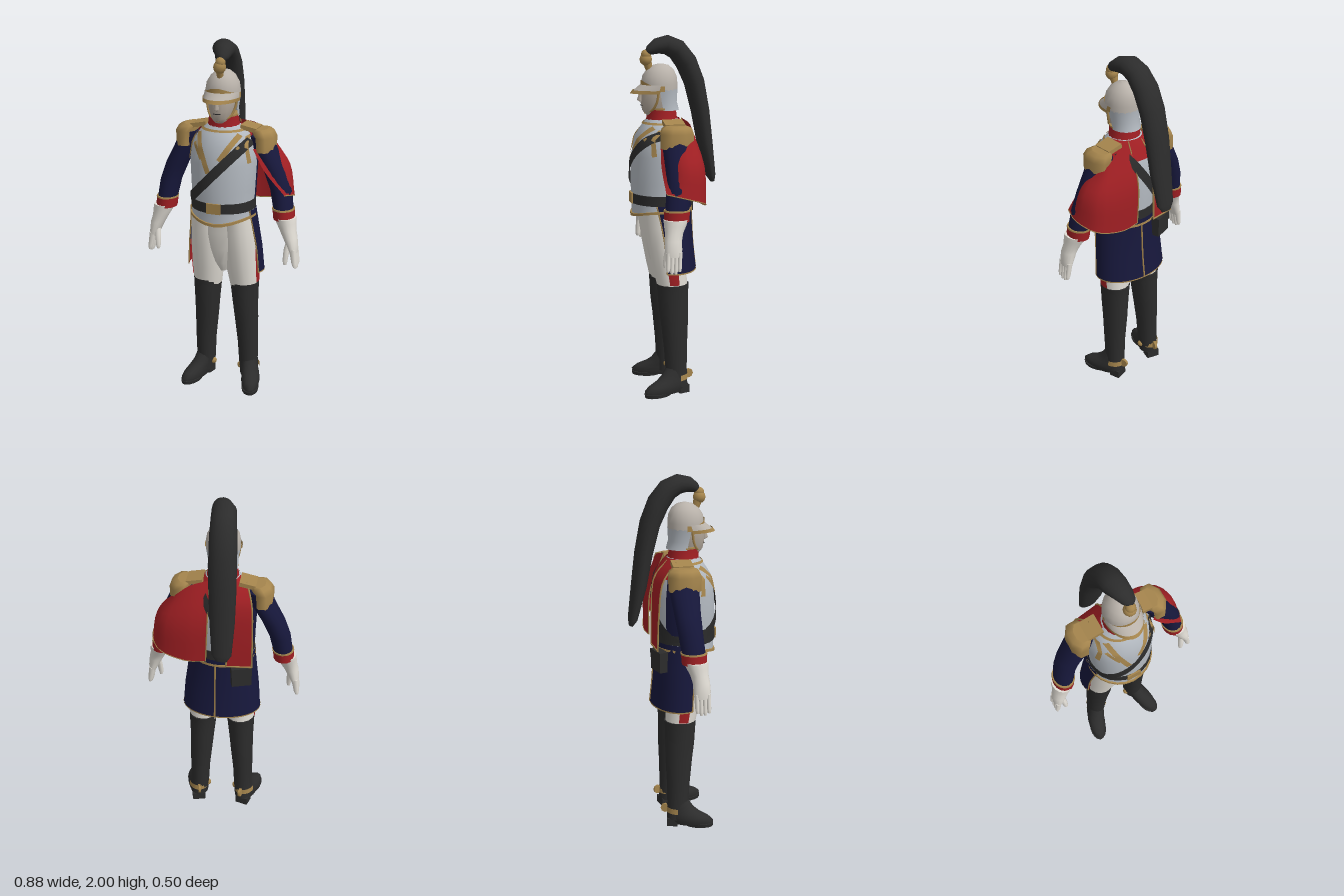
import * as THREE from 'three';

const paint = (name, color) => new THREE.MeshStandardMaterial({ name, color, side: THREE.DoubleSide });

// Lofts ellipses [x, y, z, radiusX, radiusZ, frontDip], listed from bottom to top.
// arc = [start, end] leaves the shell open; bend turns each ring to follow the path; spin turns its corners.
function loft(sections, { seg = 16, arc = null, bend = false, side = 1, grow = 0, spin = 0 } = {}) {
  const pos = [], idx = [], n = arc ? seg + 1 : seg;
  const [a0, a1] = arc || [spin, spin + Math.PI * 2];
  sections.forEach(([x, y, z, rx, rz, dip = 0], i) => {
    const p = sections[Math.max(0, i - 1)], q = sections[Math.min(sections.length - 1, i + 1)];
    const t = bend ? Math.atan2(p[2] - q[2], q[1] - p[1]) : 0;
    for (let j = 0; j < n; j++) {
      const a = a0 + (a1 - a0) * j / seg, s = Math.sin(a);
      const r = (rz + grow) * s;
      pos.push(x * side + (rx + grow) * Math.cos(a), y + r * Math.sin(t) - dip * Math.max(0, s) ** 3, z + r * Math.cos(t));
    }
  });
  const quads = arc ? n - 1 : n;
  for (let i = 0; i < sections.length - 1; i++) for (let j = 0; j < quads; j++) {
    const a = i * n + j, c = i * n + (j + 1) % n;
    idx.push(a, a + n, c, a + n, c + n, c);
  }
  if (!arc) for (const i of [0, sections.length - 1]) {   // end caps
    const base = pos.length / 3, [x, y, z] = sections[i];
    for (let j = 0; j < n; j++) pos.push(...pos.slice((i * n + j) * 3, (i * n + j) * 3 + 3));
    pos.push(x * side, y, z);
    for (let j = 0; j < n; j++) {
      const k = base + (j + 1) % n;
      if (i) idx.push(base + j, base + n, k); else idx.push(base + j, k, base + n);
    }
  }
  return finish(pos, idx);
}

function finish(pos, idx) {
  const g = new THREE.BufferGeometry();
  g.setAttribute('position', new THREE.Float32BufferAttribute(pos, 3));
  g.setIndex(idx);
  g.computeVertexNormals();
  return g;
}

const curve = pts => new THREE.CatmullRomCurve3(pts.map(p => new THREE.Vector3(...p)));
const cord = (pts, r = 0.006) => new THREE.TubeGeometry(curve(pts), 14, r, 5);

// Cloth sheet stretched over hanging columns of points
function sheet(cols, nu = 12, nv = 8) {
  const pos = [], idx = [], lines = cols.map(curve);
  for (let j = 0; j <= nv; j++) {
    const row = new THREE.CatmullRomCurve3(lines.map(l => l.getPoint(j / nv)));
    for (let i = 0; i <= nu; i++) pos.push(...row.getPoint(i / nu).toArray());
  }
  for (let j = 0; j < nv; j++) for (let i = 0; i < nu; i++) {
    const a = j * (nu + 1) + i, b = a + nu + 1;
    idx.push(a, a + 1, b, a + 1, b + 1, b);
  }
  return finish(pos, idx);
}

const TORSO = [
  [0, 1.05, 0.073, 0.18, 0.163, 0.035], [0, 1.1, 0.073, 0.172, 0.163], [0, 1.2, 0.073, 0.178, 0.17],
  [0, 1.35, 0.07, 0.186, 0.166], [0, 1.45, 0.068, 0.173, 0.15], [0, 1.51, 0.065, 0.135, 0.115], [0, 1.55, 0.065, 0.085, 0.085]];

// Flat strap lying on the breastplate (face 1) or backplate (face -1)
function strap([x0, y0], [x1, y1], width, face = 1, off = 0.007) {
  const pos = [], idx = [], N = 14, len = Math.hypot(x1 - x0, y1 - y0);
  const nx = -(y1 - y0) / len * width / 2, ny = (x1 - x0) / len * width / 2;
  const put = (x, y) => {
    let i = 0;
    while (i < TORSO.length - 2 && TORSO[i + 1][1] < y) i++;
    const A = TORSO[i], B = TORSO[i + 1], t = THREE.MathUtils.clamp((y - A[1]) / (B[1] - A[1]), 0, 1);
    const [cz, rx, rz] = [2, 3, 4].map(k => A[k] + (B[k] - A[k]) * t);
    const u = THREE.MathUtils.clamp(x / (rx + off), -1, 1);
    pos.push(u * (rx + off), y, cz + face * (rz + off) * Math.sqrt(1 - u * u));
  };
  for (let i = 0; i <= N; i++) {
    const x = x0 + (x1 - x0) * i / N, y = y0 + (y1 - y0) * i / N;
    put(x + nx, y + ny); put(x, y); put(x - nx, y - ny);
    if (i) for (const k of [0, 1]) {
      const b = i * 3 + k, a = b - 3;
      if (face > 0) idx.push(a, a + 1, b, a + 1, b + 1, b); else idx.push(a, b, a + 1, a + 1, b, b + 1);
    }
  }
  return finish(pos, idx);
}

export function createModel() {
  const steel = paint('steel', 0xb3b9c0), white = paint('white cloth', 0xe2ded6), black = paint('black leather', 0x2c2c2c);
  const navy = paint('navy cloth', 0x17183c), red = paint('red cloth', 0xa01f23), gold = paint('gold', 0xa5854d), skin = paint('skin', 0xb2a79b);
  const warmSteel = paint('warm steel', 0xb9b2aa);
  const root = new THREE.Group();
  root.name = 'cavalryman';
  const add = (name, geo, mat, parent = root, p = [0, 0, 0]) => {
    const m = new THREE.Mesh(geo, mat);
    m.name = name; m.position.set(...p); parent.add(m);
    return m;
  };
  const box = (w, h, d) => new THREE.BoxGeometry(w, h, d);
  const ball = r => new THREE.SphereGeometry(r, 10, 8);
  const PI = Math.PI;

  // Torso armour, belt and straps
  add('cuirass', loft(TORSO, { seg: 24 }), steel);
  add('cuirassRim', loft([[0, 1.045, 0.073, 0.187, 0.172, 0.035], [0, 1.058, 0.073, 0.186, 0.171, 0.033]], { seg: 24 }), gold);
  add('neckRim', loft([[0, 1.522, 0.065, 0.124, 0.112], [0, 1.533, 0.065, 0.112, 0.104]], { arc: [0, PI] }), gold);
  add('waistBelt', loft([[0, 1.085, 0.073, 0.18, 0.17], [0, 1.14, 0.073, 0.18, 0.171]], { seg: 24 }), black);
  add('buckle', box(0.08, 0.058, 0.01), gold, root, [0, 1.113, 0.242]);
  add('crossBeltFront', strap([0.165, 1.475], [-0.168, 1.13], 0.052, 1, 0.01), black);
  add('crossBeltBack', strap([0.13, 1.53], [-0.16, 1.1], 0.05, -1, 0.016), black);
  add('pouch', box(0.11, 0.1, 0.045), black, root, [-0.125, 0.99, -0.09]).rotation.y = 0.3;
  add('pouchFlap', box(0.115, 0.05, 0.05), black, root, [-0.125, 1.03, -0.091]).rotation.y = 0.3;
  for (const s of [-1, 1]) {
    add('chestBraid', strap([s * 0.115, 1.51], [s * 0.03, s < 0 ? 1.31 : 1.38], 0.03), gold);
    add('chestBraidOuter', strap([s * 0.13, 1.46], [s * 0.075, 1.38], 0.02), gold);
    const a = s > 0 ? -0.8 : PI;
    add('coatFlank', loft(TORSO.slice(1, 5), { seg: 6, grow: 0.004, arc: [a, a + 0.8] }), navy);
    add('armholeRim', strap([s * 0.145, 1.5], [s * 0.172, 1.36], 0.014), gold);
  }
  add('collar', loft([[0, 1.525, 0.066, 0.095, 0.092], [0, 1.56, 0.067, 0.084, 0.084], [0, 1.605, 0.07, 0.08, 0.082]]), red);
  add('collarTrim', loft([[0, 1.6, 0.07, 0.082, 0.084], [0, 1.609, 0.07, 0.082, 0.084]]), gold);

  // Coat skirt, open at the front
  const skirt = [[0, 0.71, 0.03, 0.222, 0.15], [0, 0.85, 0.04, 0.212, 0.145], [0, 0.97, 0.055, 0.196, 0.152], [0, 1.085, 0.073, 0.181, 0.168]];
  const arc = [-PI - 0.35, 0.35];
  add('coatSkirt', loft(skirt, { seg: 24, arc }), navy);
  add('coatHem', loft([[0, 0.708, 0.03, 0.224, 0.152], [0, 0.716, 0.03, 0.224, 0.152]], { seg: 24, arc }), gold);
  add('coatVentPiping', cord([[0.02, 0.71, -0.12], [0.02, 0.85, -0.105], [0.02, 1.05, -0.095]], 0.005), gold);
  for (const s of [-1, 1]) {
    const a = s > 0 ? -0.3 : PI - 0.33;
    add('coatEdge', cord(skirt.map(([, y, z, rx, rz]) => [s * rx * Math.cos(0.35), y, z + rz * Math.sin(0.35)]), 0.004), gold);
    add('coatLining', loft(skirt.slice(0, 2), { seg: 5, grow: -0.004, arc: [a, a + 0.63] }), red);
  }

  // Legs, boots and arms
  add('breechesSeat', loft([[0, 0.7, 0.06, 0.02, 0.04], [0, 0.76, 0.065, 0.05, 0.075], [0, 0.85, 0.065, 0.1, 0.1], [0, 0.95, 0.066, 0.16, 0.114], [0, 1.07, 0.07, 0.172, 0.122]]), white);
  const thigh = [[0.11, 0.6, 0.03, 0.079, 0.082], [0.102, 0.72, 0.045, 0.09, 0.095], [0.097, 0.85, 0.057, 0.095, 0.108], [0.093, 0.96, 0.066, 0.095, 0.116], [0.088, 1.05, 0.07, 0.092, 0.12]];
  for (const side of [-1, 1]) {
    const o = { side }, turn = side > 0 ? 0 : PI;
    add('thigh', loft(thigh, o), white);
    add('legStripe', loft([[0.108, 0.64, 0.035, 0.082, 0.086], ...thigh.slice(1, 3)], { side, seg: 4, grow: 0.004, arc: [turn - 0.3, turn + 0.3] }), red);
    add('bootShaft', loft([[0.135, 0.04, 0.01, 0.052, 0.06], [0.13, 0.14, 0.015, 0.054, 0.062], [0.128, 0.25, 0.018, 0.058, 0.066],
      [0.12, 0.4, 0.022, 0.066, 0.077], [0.115, 0.5, 0.028, 0.071, 0.084], [0.112, 0.58, 0.03, 0.077, 0.087], [0.11, 0.635, 0.03, 0.081, 0.091]], o), black);
    const foot = new THREE.Group();
    foot.name = 'foot'; foot.position.set(side * 0.143, 0, 0.005); foot.rotation.y = side * 0.28;
    root.add(foot);
    add('shoe', loft([[0, 0.012, 0.085, 0.046, 0.12], [0, 0.035, 0.083, 0.053, 0.13], [0, 0.058, 0.066, 0.052, 0.12], [-0.004, 0.08, 0.042, 0.05, 0.093],
      [-0.01, 0.105, 0.024, 0.049, 0.074], [-0.014, 0.15, 0.01, 0.046, 0.056]], o), black, foot);
    add('sole', loft([[0, 0, 0.13, 0.046, 0.08], [0, 0.02, 0.13, 0.05, 0.083]]), black, foot);
    add('heel', box(0.075, 0.045, 0.06), black, foot, [0, 0.0225, -0.022]);
    add('spurStrap', loft([[-0.006, 0.08, 0.012, 0.058, 0.07], [-0.006, 0.112, 0.012, 0.056, 0.068]], { side, arc: [-PI, 0] }), gold, foot);
    const rowel = add('spurRowel', new THREE.CylinderGeometry(0.026, 0.026, 0.014, 8), gold, foot, [0, 0.1, -0.066]);
    rowel.rotation.z = PI / 2;
    add('spurButton', ball(0.02), gold, foot, [-side * 0.06, 0.09, 0.0]);

    add('sleeve', loft([[0.343, 1.08, 0.06, 0.054, 0.064], [0.322, 1.2, 0.045, 0.059, 0.067], [0.285, 1.3, 0.035, 0.063, 0.072],
      [0.232, 1.4, 0.03, 0.066, 0.08], [0.2, 1.49, 0.03, 0.06, 0.07]], o), navy);
    add('cuff', loft([[0.346, 1.042, 0.062, 0.058, 0.069], [0.341, 1.1, 0.059, 0.06, 0.071]], o), red);
    add('cuffTrim', loft([[0.341, 1.096, 0.059, 0.062, 0.073], [0.34, 1.104, 0.058, 0.061, 0.072]], o), gold);
    add('glove', loft([[0.413, 0.865, 0.092, 0.02, 0.042], [0.405, 0.9, 0.092, 0.03, 0.047], [0.39, 0.95, 0.09, 0.04, 0.047],
      [0.374, 0.99, 0.082, 0.046, 0.05], [0.362, 1.03, 0.073, 0.056, 0.062], [0.356, 1.055, 0.068, 0.058, 0.067]], o), white);
    for (let i = 0; i < 4; i++) {
      const z = 0.06 + i * 0.021, tip = 0.77 + Math.abs(i - 1.5) * 0.012;
      add('finger', loft([[0.428, tip, z + 0.004, 0.008, 0.008], [0.425, tip + 0.02, z + 0.003, 0.014, 0.012], [0.412, 0.89, z, 0.018, 0.014]], { side, seg: 8 }), white);
    }
    add('thumb', loft([[0.375, 0.8, 0.13, 0.009, 0.009], [0.375, 0.82, 0.13, 0.014, 0.014], [0.38, 0.88, 0.12, 0.017, 0.018], [0.388, 0.94, 0.1, 0.015, 0.02]], { side, seg: 8 }), white);

    // Fringed epaulette
    add('epaulette', loft([[0.227, 1.412, 0.032, 0.056, 0.092], [0.225, 1.49, 0.032, 0.06, 0.094], [0.21, 1.52, 0.03, 0.058, 0.084], [0.2, 1.53, 0.03, 0.04, 0.06]],
      { side, seg: 8, spin: PI / 8 }), gold);
    add('shoulderTab', box(0.09, 0.024, 0.11), gold, root, [side * 0.143, 1.532, 0.032]).rotation.z = -side * 0.2;
  }

  // Cape over the left shoulder, yoke and hanging strip on the back
  const capeCols = [
    [[0.18, 1.43, 0.112], [0.245, 1.32, 0.122], [0.362, 1.19, 0.12]], [[0.265, 1.43, 0.03], [0.352, 1.32, 0.03], [0.388, 1.17, 0.03]],
    [[0.245, 1.46, -0.05], [0.32, 1.32, -0.085], [0.34, 1.13, -0.09]], [[0.16, 1.53, -0.055], [0.18, 1.32, -0.12], [0.18, 1.09, -0.125]],
    [[0.06, 1.555, -0.03], [0.06, 1.34, -0.108], [0.07, 1.09, -0.115]]];
  const stripCols = [-0.045, -0.115, -0.185].map((x, i) =>
    [[x * 0.75, 1.545, -0.02 + i * 0.012], [x * 0.95, 1.45, -0.1 + i * 0.012], [x, 1.25, -0.118 + i * 0.008], [x, 1.07, -0.12 + i * 0.006]]);
  add('cape', sheet(capeCols), red);
  add('capeHem', cord(capeCols.map(c => c[2]), 0.003), gold);
  add('capeEdge', cord(capeCols[4], 0.004), gold);
  add('backYoke', loft(TORSO.slice(4), { grow: 0.009, arc: [-PI, 0] }), red);
  add('backStrip', sheet(stripCols), red);
  for (const c of [stripCols[0], stripCols[2], stripCols.map(q => q[3])]) add('stripEdge', cord(c, 0.005), gold);

  // Head and face
  add('head', loft([[0, 1.54, 0.065, 0.06, 0.06], [0, 1.575, 0.09, 0.052, 0.07], [0, 1.595, 0.1, 0.056, 0.076], [0, 1.635, 0.092, 0.07, 0.092],
    [0, 1.68, 0.088, 0.078, 0.096], [0, 1.74, 0.085, 0.08, 0.094]]), skin);
  add('nose', loft([[0, 1.642, 0.182, 0.013, 0.012], [0, 1.652, 0.188, 0.015, 0.018], [0, 1.705, 0.178, 0.007, 0.01]], { seg: 6 }), skin);
  add('mouth', box(0.04, 0.004, 0.006), black, root, [0, 1.622, 0.18]);
  for (const s of [-1, 1]) {
    add('eye', box(0.024, 0.007, 0.007), black, root, [s * 0.031, 1.692, 0.172]).rotation.y = s * 0.35;
    add('chinStrap', cord([[s * 0.088, 1.71, 0.1], [s * 0.076, 1.64, 0.11], [s * 0.054, 1.6, 0.13], [0, 1.58, 0.16]], 0.007), gold);
  }

  // Helmet with visor, crest and plume
  add('helmetDome', loft([[0, 1.705, 0.08, 0.094, 0.1], [0, 1.74, 0.08, 0.094, 0.1], [0, 1.78, 0.079, 0.087, 0.095], [0, 1.815, 0.076, 0.066, 0.075],
    [0, 1.838, 0.074, 0.038, 0.045], [0, 1.846, 0.073, 0.01, 0.012]], { seg: 20 }), warmSteel);
  add('neckGuard', loft([[0, 1.595, 0.06, 0.082, 0.088], [0, 1.64, 0.07, 0.081, 0.086], [0, 1.71, 0.08, 0.094, 0.1]], { arc: [-PI - 0.15, 0.15] }), steel);
  add('helmetBand', loft([[0, 1.7, 0.08, 0.098, 0.104, -0.025], [0, 1.73, 0.08, 0.097, 0.103, -0.03]], { arc: [-0.1, PI + 0.1] }), gold);
  add('visor', loft([[0, 1.692, 0.09, 0.098, 0.148], [0, 1.712, 0.085, 0.099, 0.128], [0, 1.735, 0.08, 0.097, 0.104]], { arc: [0.1, PI - 0.1] }), warmSteel);
  add('visorRim', loft([[0, 1.688, 0.09, 0.1, 0.152], [0, 1.706, 0.088, 0.102, 0.141]], { arc: [0.05, PI - 0.05] }), gold);
  add('crestStand', loft([[0.003, 1.81, 0.135, 0.016, 0.02], [0.006, 1.86, 0.15, 0.024, 0.026]], { seg: 8 }), gold);
  add('crestKnob', new THREE.IcosahedronGeometry(0.035, 1), gold, root, [0.008, 1.87, 0.156]);
  add('crestCap', new THREE.IcosahedronGeometry(0.028, 1), gold, root, [0.012, 1.896, 0.156]);
  add('plume', loft([[-0.035, 1.18, -0.232, 0.03, 0.012], [-0.035, 1.215, -0.222, 0.054, 0.026], [-0.033, 1.4, -0.186, 0.068, 0.043],
    [-0.03, 1.58, -0.158, 0.074, 0.05], [-0.026, 1.74, -0.122, 0.075, 0.056], [-0.022, 1.85, -0.075, 0.074, 0.06], [-0.016, 1.92, -0.02, 0.068, 0.058],
    [-0.01, 1.947, 0.04, 0.065, 0.053], [0.004, 1.94, 0.095, 0.052, 0.042], [0.015, 1.92, 0.135, 0.036, 0.028], [0.018, 1.905, 0.152, 0.014, 0.014]], { bend: true }), black);
  return root;
}
